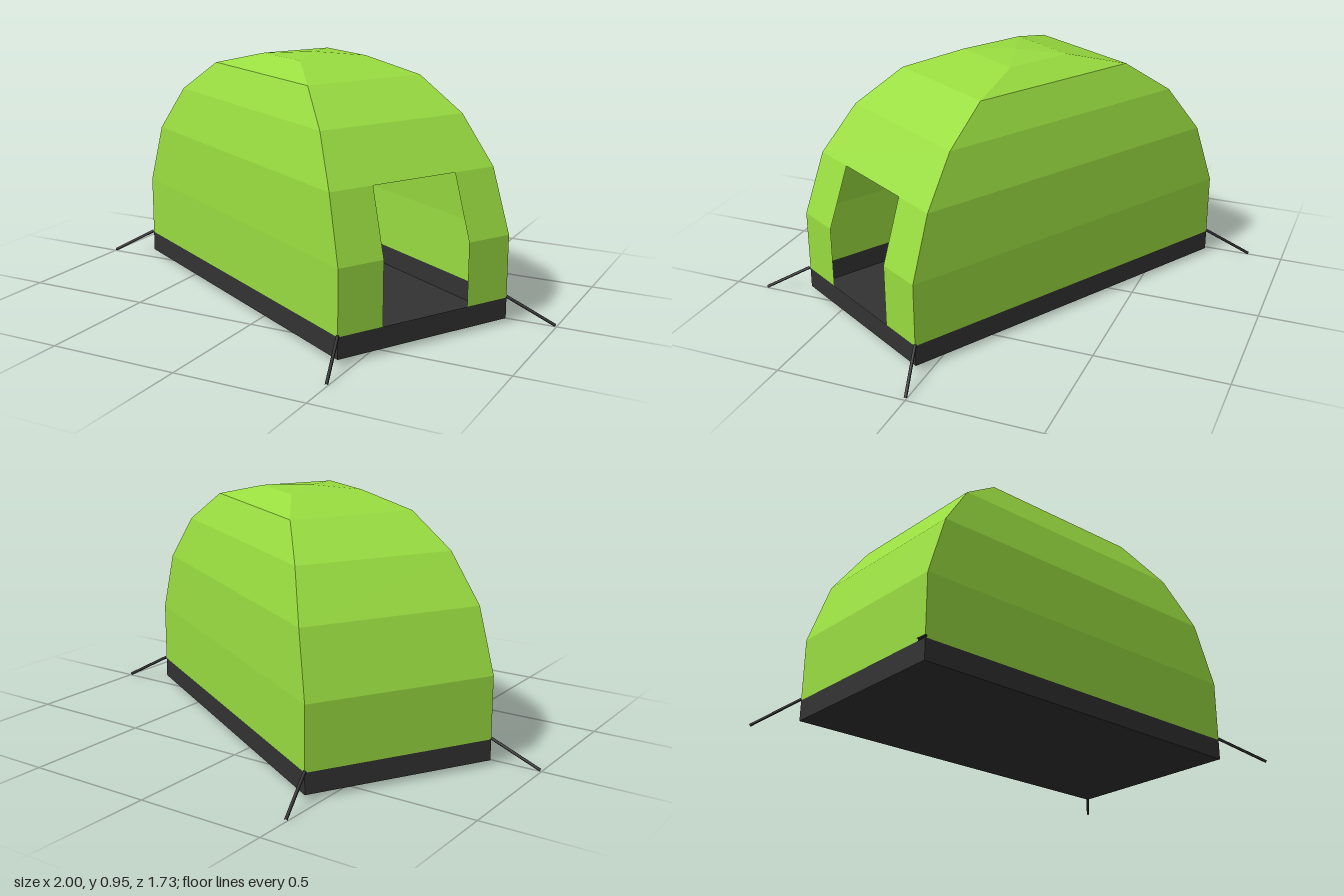
import * as THREE from 'three';

// Canopy rings: [height, half length, half width]
const RINGS = [
  [0.10, 0.735, 0.37],
  [0.34, 0.735, 0.37],
  [0.58, 0.655, 0.354],
  [0.76, 0.526, 0.309],
  [0.885, 0.348, 0.247],
  [0.94, 0.135, 0.147],
  [0.95, 0, 0],
];
const DOOR = 0.25; // door spans the middle half of the end wall, two rings high

const fabric = new THREE.MeshStandardMaterial({ color: 0x99dd40, flatShading: true, side: THREE.DoubleSide });
const tarp = new THREE.MeshStandardMaterial({ color: 0x333333, flatShading: true, side: THREE.DoubleSide });
const cord = new THREE.MeshStandardMaterial({ color: 0x262626 });

// Four corners of a ring; the first edge is the door end
const corners = ([y, a, b]) =>
  [[a, b], [a, -b], [-a, -b], [-a, b]].map(([x, z]) => new THREE.Vector3(x, y, z));

// Mesh from a list of quads, each counter-clockwise from outside
function quadMesh(name, quads, material) {
  const points = quads.flatMap(([a, b, c, d]) => [a, b, c, a, c, d]);
  const geometry = new THREE.BufferGeometry().setFromPoints(points);
  geometry.computeVertexNormals();
  const mesh = new THREE.Mesh(geometry, material);
  mesh.name = name;
  return mesh;
}

// Part of a wall panel between fractions s and t of its width
const strip = ([a, b, c, d], s, t) =>
  [a.clone().lerp(b, s), a.clone().lerp(b, t), d.clone().lerp(c, t), d.clone().lerp(c, s)];

function band(lower, upper) {
  const p = corners(lower), q = corners(upper);
  return p.map((_, i) => [p[i], p[(i + 1) % 4], q[(i + 1) % 4], q[i]]);
}

export function createModel() {
  const model = new THREE.Group();
  model.name = 'tent';

  // Domed canopy with a doorway in one end
  const panels = [];
  for (let k = 0; k < RINGS.length - 1; k++) {
    band(RINGS[k], RINGS[k + 1]).forEach((quad, side) => {
      if (side === 0 && k < 2) panels.push(strip(quad, 0, DOOR), strip(quad, 1 - DOOR, 1));
      else panels.push(quad);
    });
  }
  model.add(quadMesh('canopy', panels, fabric));

  // Tub groundsheet: low walls and a floor
  const [, a, b] = RINGS[0];
  const bottom = [0.02, a, b];
  model.add(quadMesh('groundsheetWalls', band(bottom, RINGS[0]), tarp));
  model.add(quadMesh('groundsheetFloor', [corners(bottom)], tarp));

  // Guy ropes from each corner to the ground
  for (const sx of [1, -1]) for (const sz of [1, -1]) {
    const path = new THREE.LineCurve3(
      new THREE.Vector3(sx * a, 0.105, sz * b),
      new THREE.Vector3(sx * 0.863, 0.007, sz * 0.497));
    const rope = new THREE.Mesh(new THREE.TubeGeometry(path, 1, 0.006, 6), cord);
    rope.name = 'guyRope';
    model.add(rope);
  }

  // The tent stands turned on its site
  model.rotation.y = -Math.PI / 6;
  const root = new THREE.Group();
  root.add(model);
  return root;
}
